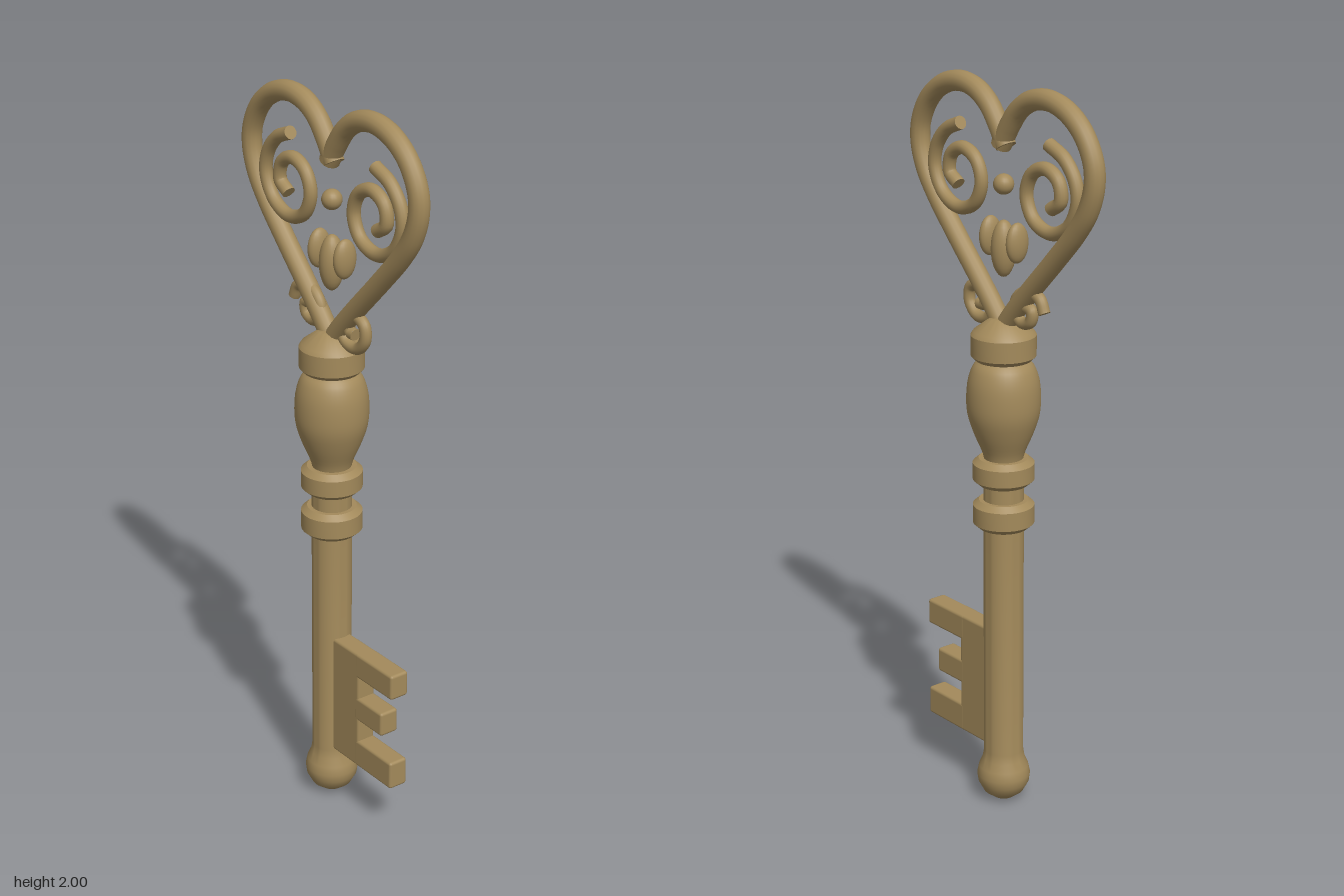
import * as THREE from 'three';
import { mergeGeometries, toCreasedNormals } from 'three/addons/utils/BufferGeometryUtils.js';
import { RoundedBoxGeometry } from 'three/addons/geometries/RoundedBoxGeometry.js';

const brass = new THREE.MeshStandardMaterial({ color: 0xa38a5b });
brass.name = 'agedBrass';

function add(parent, name, geometry, x = 0, y = 0, z = 0) {
  const mesh = new THREE.Mesh(geometry, brass);
  mesh.name = name;
  mesh.position.set(x, y, z);
  parent.add(mesh);
  return mesh;
}

// Round wire through [x, y] points in the z = 0 plane, with flat end caps.
function wire(points, radius, side = 1, segments = 72) {
  const curve = new THREE.CatmullRomCurve3(points.map(([x, y]) => new THREE.Vector3(side * x, y, 0)));
  const parts = [new THREE.TubeGeometry(curve, segments, radius, 14)];
  for (const t of [0, 1]) {
    const direction = curve.getTangent(t).multiplyScalar(t ? 1 : -1);
    const cap = new THREE.CircleGeometry(radius, 14);
    cap.applyQuaternion(new THREE.Quaternion().setFromUnitVectors(new THREE.Vector3(0, 0, 1), direction));
    const end = curve.getPoint(t);
    cap.translate(end.x, end.y, end.z);
    parts.push(cap);
  }
  return mergeGeometries(parts);
}

function turned(profile) {
  const points = profile.map(([r, y]) => new THREE.Vector2(r, y));
  return toCreasedNormals(new THREE.LatheGeometry(points, 40), 0.6);
}

export function createModel() {
  const key = new THREE.Group();
  key.name = 'ornateKey';

  // Turned stem: tip, shaft, neck, swelling grip
  add(key, 'shaft', turned([
    [0, 0.003], [0.03, 0.008], [0.055, 0.027], [0.07, 0.055], [0.073, 0.078], [0.068, 0.102],
    [0.058, 0.125], [0.054, 0.15], [0.054, 1.0],
  ]));
  const bulb = new THREE.SplineCurve([
    [0.05, 0.99], [0.057, 1.02], [0.078, 1.07], [0.094, 1.12], [0.098, 1.165],
    [0.094, 1.215], [0.08, 1.255], [0.058, 1.278], [0.056, 1.3],
  ].map(([x, y]) => new THREE.Vector2(x, y)));
  add(key, 'grip', new THREE.LatheGeometry(bulb.getPoints(28), 40));

  // Chamfered collars
  for (const [name, bottom, top, r] of [
    ['lowerCollar', 0.808, 0.886, 0.082], ['middleCollar', 0.93, 1.003, 0.082],
  ]) {
    add(key, name, turned([
      [0, bottom], [r - 0.016, bottom], [r, bottom + 0.014], [r, top - 0.014], [r - 0.016, top], [0, top],
    ]));
  }
  add(key, 'topCollar', turned([
    [0, 1.273], [0.074, 1.273], [0.086, 1.285], [0.086, 1.34], [0.079, 1.35], [0.035, 1.383], [0, 1.388],
  ]));

  // Bit with three teeth
  const bit = new THREE.Group();
  bit.name = 'bit';
  key.add(bit);
  const block = (name, x0, x1, y0, y1, depth) => add(bit, name,
    new RoundedBoxGeometry(x1 - x0, y1 - y0, depth, 2, 0.008), (x0 + x1) / 2, (y0 + y1) / 2);
  block('bitPlate', 0.03, 0.157, 0.155, 0.505, 0.056);
  block('topTooth', 0.14, 0.3, 0.432, 0.505, 0.057);
  block('middleTooth', 0.14, 0.258, 0.3, 0.37, 0.057);
  block('bottomTooth', 0.14, 0.3, 0.155, 0.236, 0.057);

  // Heart bow and its inner scrolls, mirrored
  const bow = new THREE.Group();
  bow.name = 'bow';
  key.add(bow);
  const heart = [
    [-0.01, 1.833], [0.022, 1.885], [0.06, 1.932], [0.11, 1.963], [0.175, 1.973], [0.245, 1.955],
    [0.305, 1.91], [0.342, 1.845], [0.346, 1.79], [0.325, 1.725], [0.28, 1.66], [0.2, 1.573],
    [0.1, 1.47], [0.04, 1.405], [0, 1.355],
  ];
  const scroll = [
    [0.175, 1.865], [0.235, 1.838], [0.275, 1.79], [0.285, 1.735], [0.253, 1.672], [0.185, 1.642],
    [0.118, 1.665], [0.09, 1.725], [0.112, 1.78], [0.165, 1.802], [0.213, 1.778], [0.222, 1.73], [0.185, 1.703],
  ];
  for (const side of [1, -1]) {
    const label = side > 0 ? 'left' : 'right';
    add(bow, label + 'HeartHalf', wire(heart, 0.027, side, 90));
    add(bow, label + 'Scroll', wire(scroll, 0.018, side, 90));
  }

  // Small curls at the foot of the heart
  add(bow, 'leftCurl', wire([
    [0.025, 1.41], [0.065, 1.37], [0.11, 1.368], [0.14, 1.4], [0.137, 1.437],
    [0.105, 1.453], [0.074, 1.435], [0.078, 1.405], [0.1, 1.402],
  ], 0.016));
  add(bow, 'rightCurl', wire([
    [-0.163, 1.43], [-0.145, 1.464], [-0.1, 1.475], [-0.058, 1.452], [-0.046, 1.415],
    [-0.075, 1.388], [-0.108, 1.397], [-0.114, 1.425], [-0.085, 1.434],
  ], 0.016));

  // Bead and three petals inside the heart
  add(bow, 'bead', new THREE.SphereGeometry(0.027, 20, 14), 0, 1.735);
  for (const [name, x, y, rx, ry] of [
    ['centrePetal', 0, 1.568, 0.032, 0.075],
    ['leftPetal', 0.054, 1.592, 0.02, 0.053], ['rightPetal', -0.054, 1.592, 0.02, 0.053],
  ]) {
    add(bow, name, new THREE.SphereGeometry(1, 20, 14), x, y).scale.set(rx, ry, 0.034);
  }
  return key;
}
